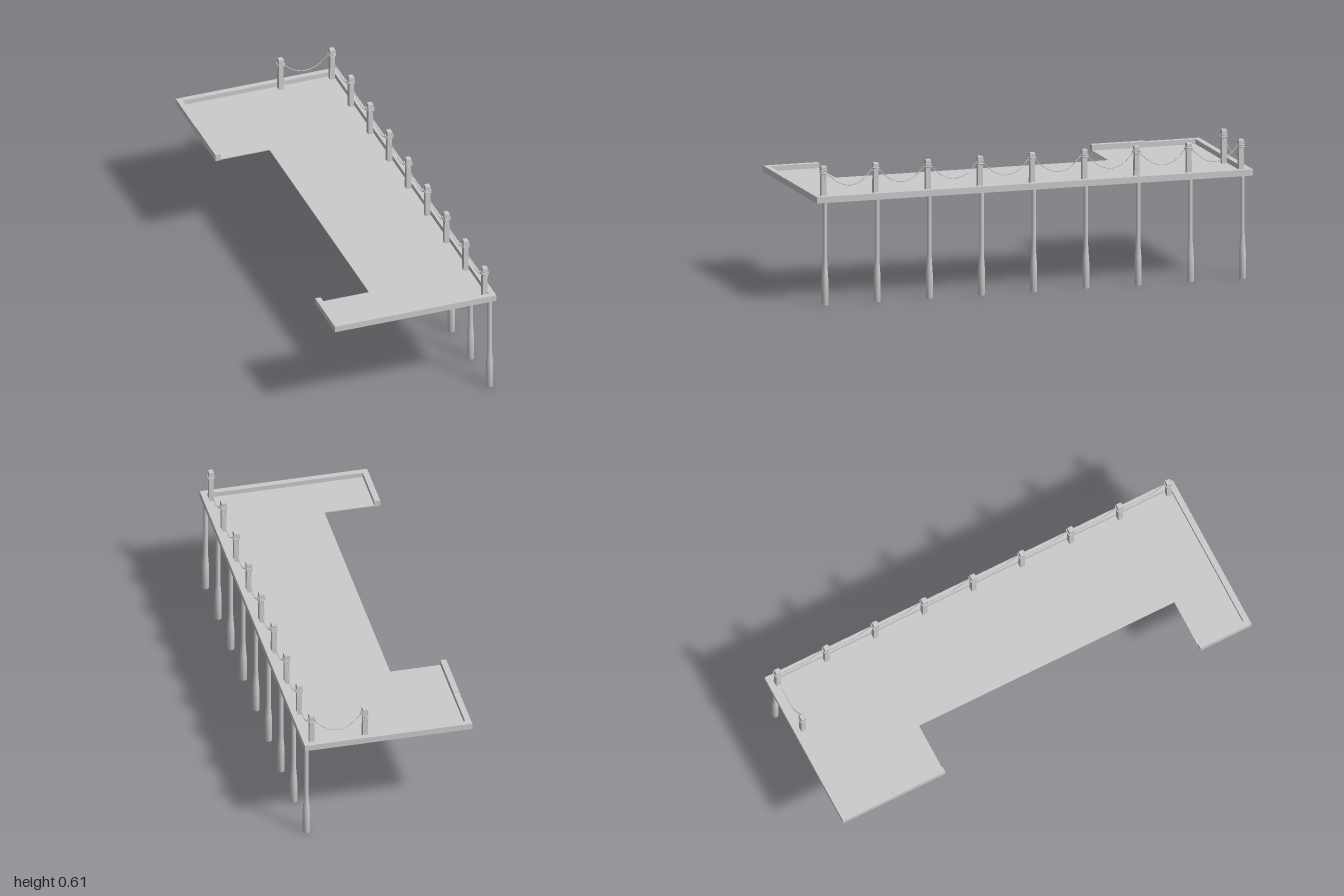
import * as THREE from 'three';

const mat = new THREE.MeshStandardMaterial({ color: 0xcccccc });
const flat = new THREE.MeshStandardMaterial({ color: 0xcccccc, flatShading: true });

function add(parent, name, geometry, material = flat) {
  const mesh = new THREE.Mesh(geometry, material);
  mesh.name = name;
  parent.add(mesh);
  return mesh;
}

// Box given by its limits on each axis
function span(parent, name, [x0, x1], [y0, y1], [z0, z1]) {
  const mesh = add(parent, name, new THREE.BoxGeometry(x1 - x0, y1 - y0, z1 - z0));
  mesh.position.set((x0 + x1) / 2, (y0 + y1) / 2, (z0 + z1) / 2);
  return mesh;
}

// Square post with a slightly bevelled cap and two turns of rope
function makePost(x, z) {
  const post = new THREE.Group();
  post.name = 'railPost';
  post.position.set(x, 0, z);
  const square = (name, r0, r1, y0, y1) => {
    const g = new THREE.CylinderGeometry(r1 * Math.SQRT2, r0 * Math.SQRT2, y1 - y0, 4);
    g.rotateY(Math.PI / 4);
    add(post, name, g).position.y = (y0 + y1) / 2;
  };
  square('postShaft', 0.0115, 0.0105, 0.455, 0.594);
  square('postCap', 0.0122, 0.0122, 0.593, 0.608);
  square('postCapBevel', 0.0122, 0.0105, 0.608, 0.612);
  [0.581, 0.588].forEach((y, i) => {
    const s = 0.0135;
    const loop = new THREE.CatmullRomCurve3(
      [[s, s], [s, -s], [-s, -s], [-s, s]].map(([a, b]) =>
        new THREE.Vector3(a, y + (i ? 0.15 : -0.1) * a, b)), true, 'catmullrom', 0.25);
    add(post, 'ropeWrap', new THREE.TubeGeometry(loop, 20, 0.0025, 6, true), mat);
  });
  return post;
}

// Sagging rope that drifts sideways from its start to its end
function makeRope(parent, from, to, drift) {
  const pts = [0, 0.12, 0.3, 0.5, 0.7, 0.88, 1].map((t) => {
    const p = new THREE.Vector3().lerpVectors(from, to, t);
    p.y -= 0.063 * (1 - (2 * t - 1) ** 2);
    return p.addScaledVector(drift, Math.min(1, t * 3) - 0.5);
  });
  const curve = new THREE.CatmullRomCurve3(pts);
  add(parent, 'rope', new THREE.TubeGeometry(curve, 28, 0.002, 6), mat);
}

export function createModel() {
  const dock = new THREE.Group();
  dock.name = 'dock';

  // Deck: long walkway with an arm at each end
  const outline = [[-0.375, -1], [0.374, -1], [0.374, 1], [-0.375, 1],
    [-0.375, 0.75], [-0.125, 0.75], [-0.125, -0.5], [-0.375, -0.5]];
  const shape = new THREE.Shape(outline.map(([x, z]) => new THREE.Vector2(x, -z)));
  const deck = new THREE.ExtrudeGeometry(shape, { depth: 0.004, bevelEnabled: false });
  deck.rotateX(-Math.PI / 2);
  add(dock, 'deck', deck).position.y = 0.457;

  // Raised rim around the outer edges
  const y = [0.455, 0.483];
  const w = 0.026;
  span(dock, 'rimLeft', [0.374 - w, 0.374], y, [-1, 1]);
  for (const [name, z0, z1] of [['rimBack', -1, -1 + w], ['rimFront', 1 - w, 1]]) {
    span(dock, name, [-0.375, -0.125], y, [z0, z1]);
    span(dock, name, [-0.125, 0.374 - w], y, [z0, z1]);
  }
  span(dock, 'rimRightBack', [-0.375, -0.375 + w], y, [-1 + w, -0.75]);
  span(dock, 'rimRightBackEnd', [-0.375, -0.375 + w], [0.455, 0.486], [-0.75, -0.5]);
  span(dock, 'rimRightFront', [-0.375, -0.375 + w], y, [0.75, 1 - w]);

  // Piles with thick feet, and rail posts above them
  const profile = [[0, 0], [0.016, 0], [0.016, 0.105], [0.0145, 0.13], [0.0115, 0.168],
    [0.0102, 0.2], [0.0102, 0.457]].map(([r, h]) => new THREE.Vector2(r, h));
  const pileGeometry = new THREE.LatheGeometry(profile, 10);
  const postX = 0.334;
  const zs = Array.from({ length: 9 }, (_, i) => -0.957 + i * 0.2393);
  zs.forEach((z, i) => {
    add(dock, 'pile', pileGeometry, mat).position.set(0.358, 0, z);
    dock.add(makePost(postX, z));
    if (i) {
      makeRope(dock, new THREE.Vector3(postX, 0.585, zs[i - 1] + 0.012),
        new THREE.Vector3(postX, 0.585, z - 0.012), new THREE.Vector3(0.016, 0, 0));
    }
  });

  // Extra post and rope along the back edge
  dock.add(makePost(0.096, zs[0]));
  makeRope(dock, new THREE.Vector3(0.108, 0.585, zs[0]),
    new THREE.Vector3(postX - 0.012, 0.585, zs[0]), new THREE.Vector3(0, 0, -0.014));

  // Loose rope end hanging from the last post
  const tail = new THREE.CatmullRomCurve3([[0.345, 0.586], [0.349, 0.575], [0.348, 0.55]]
    .map(([x, h]) => new THREE.Vector3(x, h, zs[8])));
  add(dock, 'ropeEnd', new THREE.TubeGeometry(tail, 8, 0.002, 6), mat);

  return dock;
}
